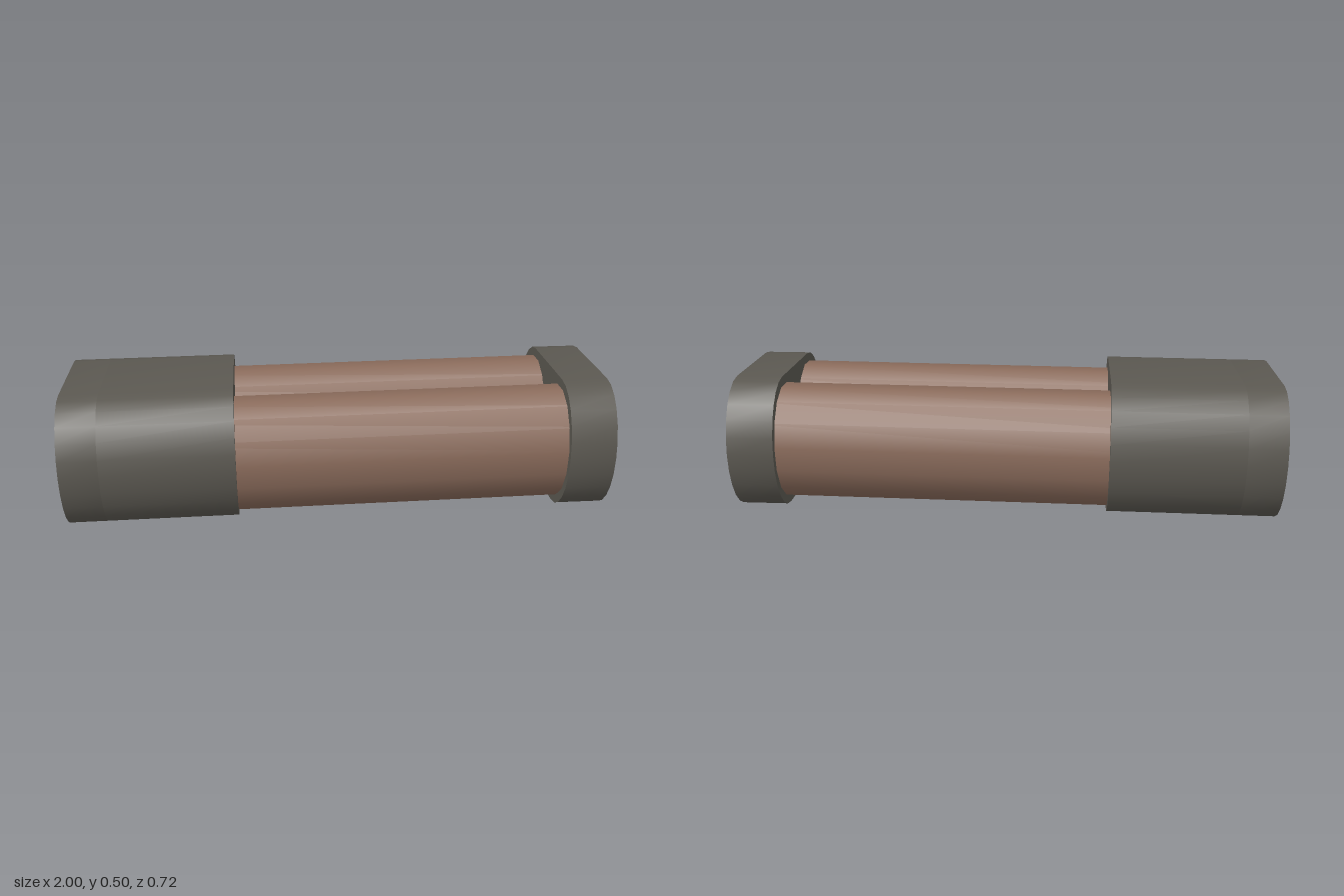
import * as THREE from 'three';
import { toCreasedNormals } from 'three/addons/utils/BufferGeometryUtils.js';

const rubber = new THREE.MeshStandardMaterial({ color: 0x5b5851, side: THREE.DoubleSide });
rubber.name = 'dark grey';
const tube = new THREE.MeshStandardMaterial({ color: 0x8a6b5b });
tube.name = 'warm brown';

const MID = 0.249; // height of the long axis

// Flat-topped oval: straight half-width flat, rounded ends rz wide and ry high
function ovalPoints(flat, rz, ry, steps = 12) {
  const pts = [];
  for (const side of [1, -1]) {
    for (let i = 0; i <= steps; i++) {
      const a = -Math.PI / 2 + (Math.PI * i) / steps;
      pts.push(new THREE.Vector2(side * (flat + rz * Math.cos(a)), side * ry * Math.sin(a)));
    }
  }
  return pts;
}
const outer = () => ovalPoints(0.18, 0.18, 0.248);
const inner = () => ovalPoints(0.175, 0.105, 0.15);

function ovalShape(points, hole) {
  const s = new THREE.Shape(points);
  if (hole) s.holes.push(new THREE.Path(hole));
  return s;
}

// Extrude a shape along x from x0 to x1; optionally keep only the side walls
function extrudeX(shape, x0, x1, wallsOnly = false) {
  let g = new THREE.ExtrudeGeometry(shape, { depth: x1 - x0, bevelEnabled: false });
  if (wallsOnly) {
    const start = g.groups[1].start * 3;
    const walls = new THREE.BufferGeometry();
    walls.setAttribute('position',
      new THREE.BufferAttribute(g.attributes.position.array.slice(start), 3));
    g = walls;
  }
  g.clearGroups();
  g.rotateY(Math.PI / 2);
  g.translate(x0, 0, 0);
  return toCreasedNormals(g, 0.6);
}

function add(parent, name, geometry, material) {
  const m = new THREE.Mesh(geometry, material);
  m.name = name;
  parent.add(m);
  return m;
}

export function createModel() {
  const model = new THREE.Group();
  model.name = 'twinTubeBody';

  // Long end cap, with a shallow oval pocket in its outer end
  const longCap = new THREE.Group();
  longCap.name = 'longCap';
  longCap.position.set(-0.69, MID, 0);
  longCap.rotation.z = 0.008;
  add(longCap, 'longCapBody', extrudeX(ovalShape(outer()), -0.17, 0.31), rubber);
  add(longCap, 'longCapPocketRim', extrudeX(ovalShape(outer(), inner()), -0.31, -0.17), rubber);
  model.add(longCap);

  // Short end cap: open outer rim, inner oval collar and a pierced back plate
  const shortCap = new THREE.Group();
  shortCap.name = 'shortCap';
  shortCap.position.y = MID;
  add(shortCap, 'shortCapRim', extrudeX(ovalShape(outer()), 0.83, 1, true), rubber);
  add(shortCap, 'shortCapCollar', extrudeX(ovalShape(inner()), 0.83, 1, true), rubber);
  const plate = new THREE.ShapeGeometry(ovalShape(outer(), inner()));
  plate.rotateY(Math.PI / 2);
  plate.translate(0.83, 0, 0);
  add(shortCap, 'shortCapPlate', plate, rubber);
  model.add(shortCap);

  // Pair of overlapping tubes, tilted very slightly upward
  const x0 = -0.8, x1 = 0.97;
  for (const side of [1, -1]) {
    const g = new THREE.CylinderGeometry(1, 1, x1 - x0, 15, 1, false, Math.PI / 2);
    g.rotateZ(-Math.PI / 2);
    g.scale(1, 0.218, 0.174);
    const t = add(model, side > 0 ? 'frontTube' : 'backTube', g, tube);
    t.position.set((x0 + x1) / 2, 0.242, side * 0.165);
    t.rotation.z = 0.0085;
  }
  return model;
}
